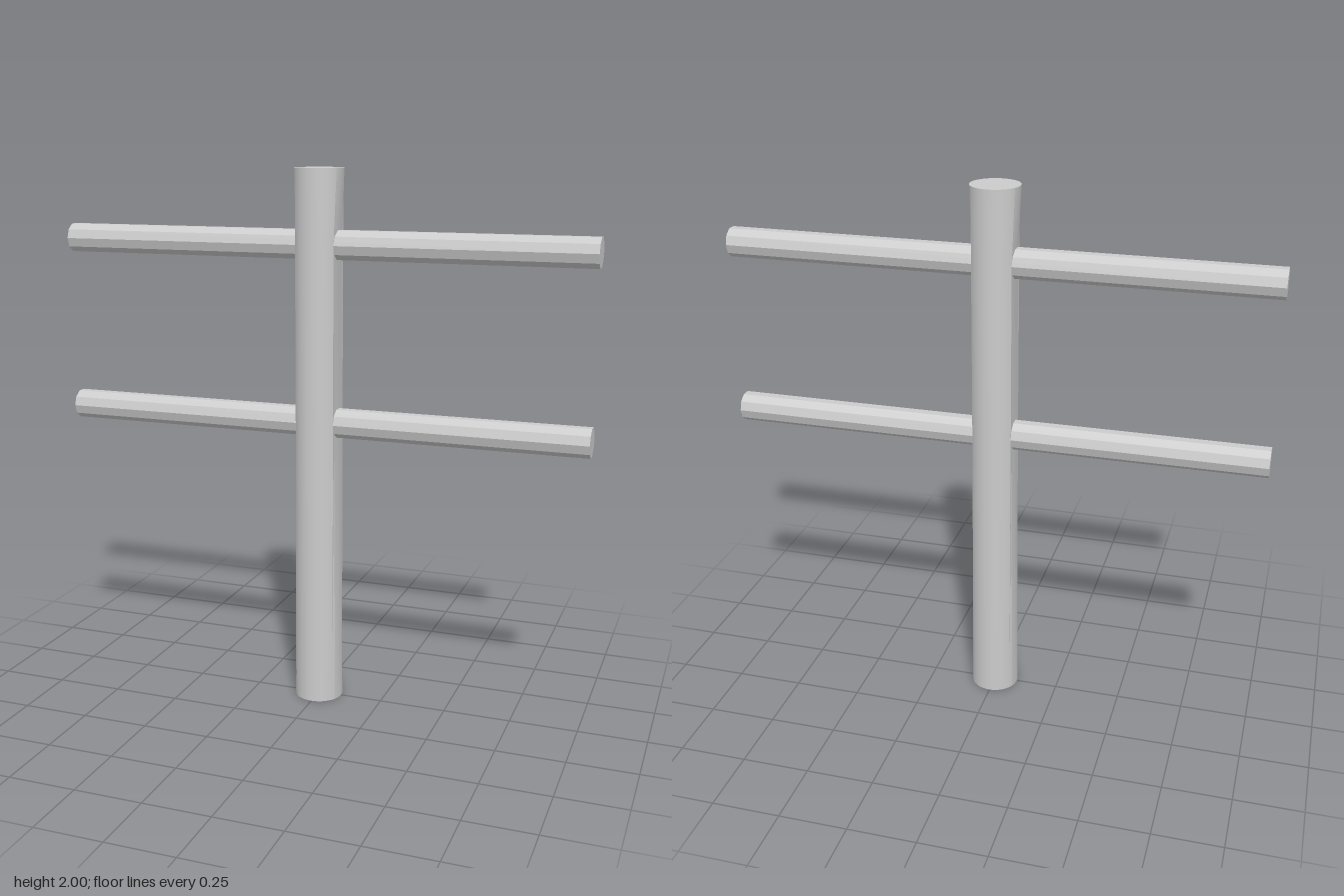
import * as THREE from 'three';
import { toCreasedNormals } from 'three/addons/utils/BufferGeometryUtils.js';

const POST_RADIUS = 0.09;
const ARM_RADIUS = 0.055;
const ARM_HEIGHTS = [1.08, 1.73];
// Distance of the flattened post sides from the axis
const FLAT_X = POST_RADIUS * Math.cos(Math.PI / 5);

// Round post whose sides taper into flats between the two arms
function makePost(material) {
  const geometry = new THREE.CylinderGeometry(POST_RADIUS, POST_RADIUS, 3, 40, 3);
  const rows = [0, ...ARM_HEIGHTS, 2];
  const pos = geometry.attributes.position;
  for (let i = 0; i < pos.count; i++) {
    const row = Math.round(pos.getY(i) + 1.5);
    pos.setY(i, rows[row]);
    if (row === 1 || row === 2) {
      pos.setX(i, THREE.MathUtils.clamp(pos.getX(i), -FLAT_X, FLAT_X));
    }
  }
  const post = new THREE.Mesh(toCreasedNormals(geometry, 0.5), material);
  post.name = 'post';
  return post;
}

export function createModel() {
  const model = new THREE.Group();
  model.name = 'crossArmPole';
  const smooth = new THREE.MeshStandardMaterial({ color: 0xcccccc });
  const faceted = new THREE.MeshStandardMaterial({ color: 0xcccccc, flatShading: true });

  model.add(makePost(smooth));

  // Ten-sided horizontal arms passing through the post
  const armGeometry = new THREE.CylinderGeometry(ARM_RADIUS, ARM_RADIUS, 2, 10);
  armGeometry.rotateZ(Math.PI / 2);
  ARM_HEIGHTS.forEach((y, i) => {
    const arm = new THREE.Mesh(armGeometry, faceted);
    arm.name = i === 0 ? 'lowerArm' : 'upperArm';
    arm.position.y = y;
    model.add(arm);
  });

  return model;
}
